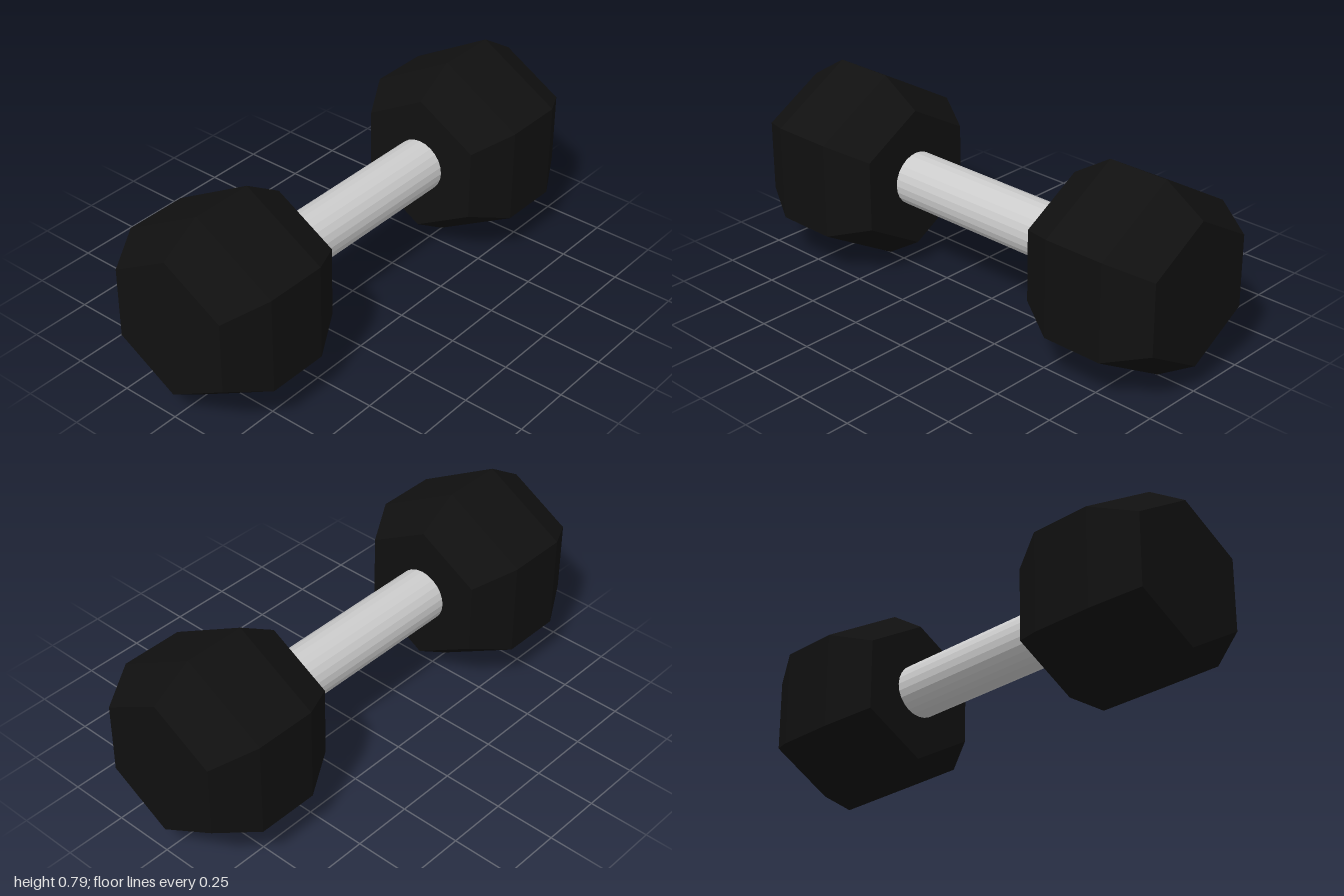
import * as THREE from 'three';

const AXIS_Y = 0.394; // height of the bar's axis
const RADIUS = 0.394; // hexagon corner radius
const END_RADIUS = 0.29; // corner radius of the flat end faces

export function createModel() {
  const model = new THREE.Group();
  model.name = 'dumbbell';

  const rubber = new THREE.MeshStandardMaterial({ color: 0x101010, flatShading: true });
  const steel = new THREE.MeshStandardMaterial({ color: 0xcccccc, flatShading: true });

  // Hexagonal head with bevelled ends, a corner pointing straight up and down
  const profile = [
    [0, -0.2925], [END_RADIUS, -0.2925], [RADIUS, -0.1275],
    [RADIUS, 0.1275], [END_RADIUS, 0.2925], [0, 0.2925],
  ].map(([r, y]) => new THREE.Vector2(r, y));
  const headGeometry = new THREE.LatheGeometry(profile, 6).rotateX(Math.PI / 2);

  for (const [name, side] of [['frontHead', 1], ['backHead', -1]]) {
    const head = new THREE.Mesh(headGeometry, rubber);
    head.name = name;
    head.position.set(0, AXIS_Y, side * 0.7075);
    model.add(head);
  }

  // Round grip, its ends set just inside the heads
  const handle = new THREE.Mesh(
    new THREE.CylinderGeometry(0.11, 0.11, 0.86, 24).rotateX(Math.PI / 2),
    steel,
  );
  handle.name = 'handle';
  handle.position.y = AXIS_Y;
  model.add(handle);

  return model;
}
